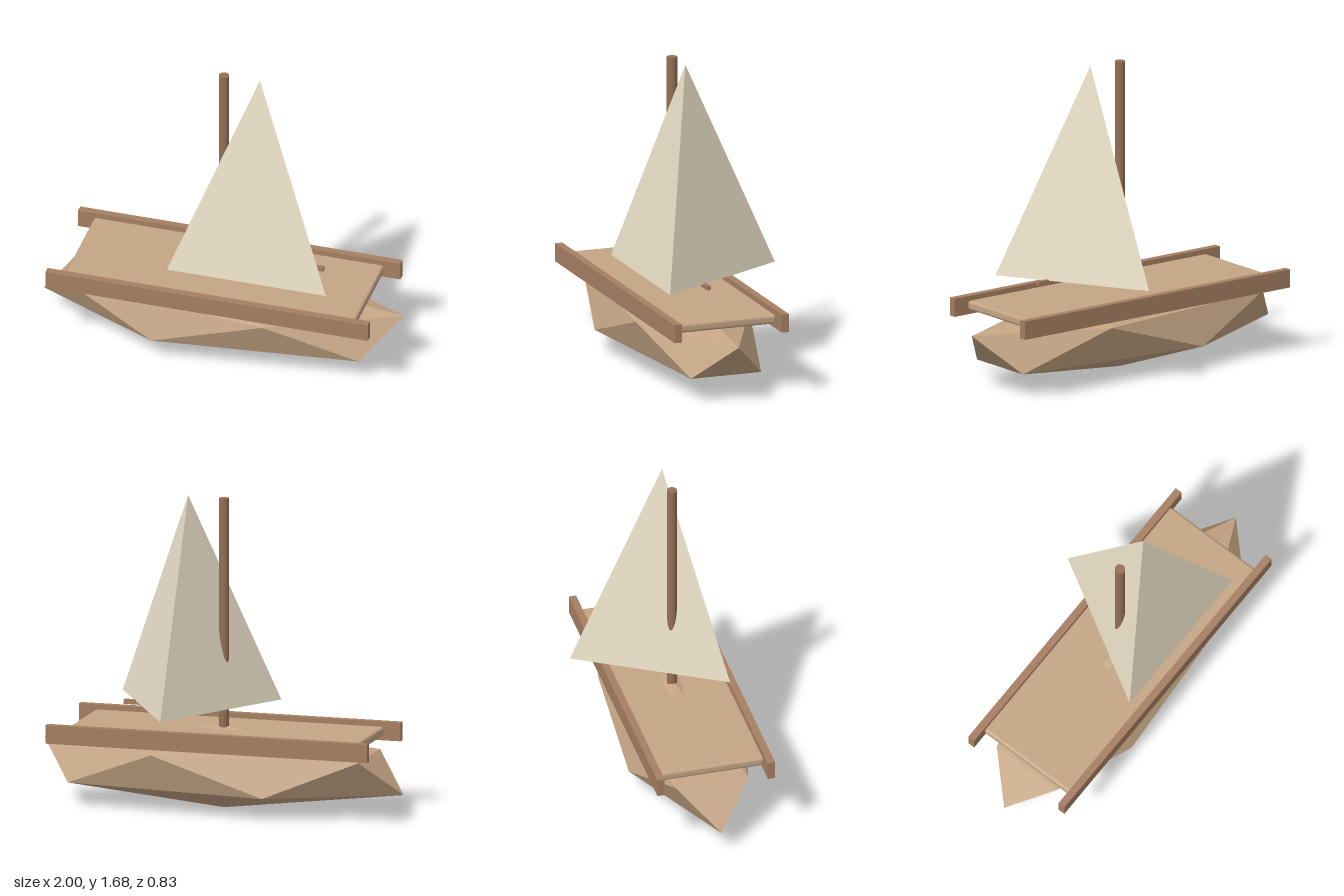
import * as THREE from 'three';
import { ConvexGeometry } from 'three/addons/geometries/ConvexGeometry.js';
import { RoundedBoxGeometry } from 'three/addons/geometries/RoundedBoxGeometry.js';

const CENTRE_Z = 0.09; // centreline of the boat

export function createModel() {
  const boat = new THREE.Group();
  boat.name = 'sailboat';

  const material = (color) => new THREE.MeshStandardMaterial({ color, flatShading: true });
  const hullWood = material(0xc4a484);
  const railWood = material(0xa67f62);
  const mastWood = material(0x966f55);
  const canvas = material(0xe6dcc5);

  const add = (name, geometry, mat, x, y, z = CENTRE_Z) => {
    const mesh = new THREE.Mesh(geometry, mat);
    mesh.name = name;
    mesh.position.set(x, y, z);
    boat.add(mesh);
    return mesh;
  };

  // Hull: stretched icosahedron standing on a point, two staggered rings of five
  const points = [new THREE.Vector3(0, 0, 0), new THREE.Vector3(0, 0.45, 0)];
  for (let i = 0; i < 5; i++) {
    const a = (i / 5) * Math.PI * 2;
    const x = Math.cos(a);
    const z = Math.sin(a) * 0.34;
    points.push(new THREE.Vector3(x, 0.325, z), new THREE.Vector3(-x, 0.125, z));
  }
  add('hull', new ConvexGeometry(points), hullWood, 0, 0);

  // Deck with softened edges
  add('deck', new RoundedBoxGeometry(1.61, 0.05, 0.58, 2, 0.015), hullWood, 0, 0.405);

  // Side rails
  for (const side of [1, -1]) {
    const name = side > 0 ? 'frontRail' : 'backRail';
    add(name, new THREE.BoxGeometry(1.79, 0.1, 0.04), railWood, 0, 0.405, CENTRE_Z + side * 0.305);
  }

  // Mast and boom
  add('mast', new THREE.CylinderGeometry(0.028, 0.028, 1.26, 16), mastWood, 0, 1.05);
  add('boom', new THREE.BoxGeometry(0.555, 0.025, 0.022), railWood, 0.2775, 0.5425);

  // Sail: three-sided pyramid with one corner pointing back
  const sail = add('sail', new THREE.ConeGeometry(0.51, 1.135, 3), canvas, 0.2, 1.1175);
  sail.rotation.y = Math.PI;

  return boat;
}
